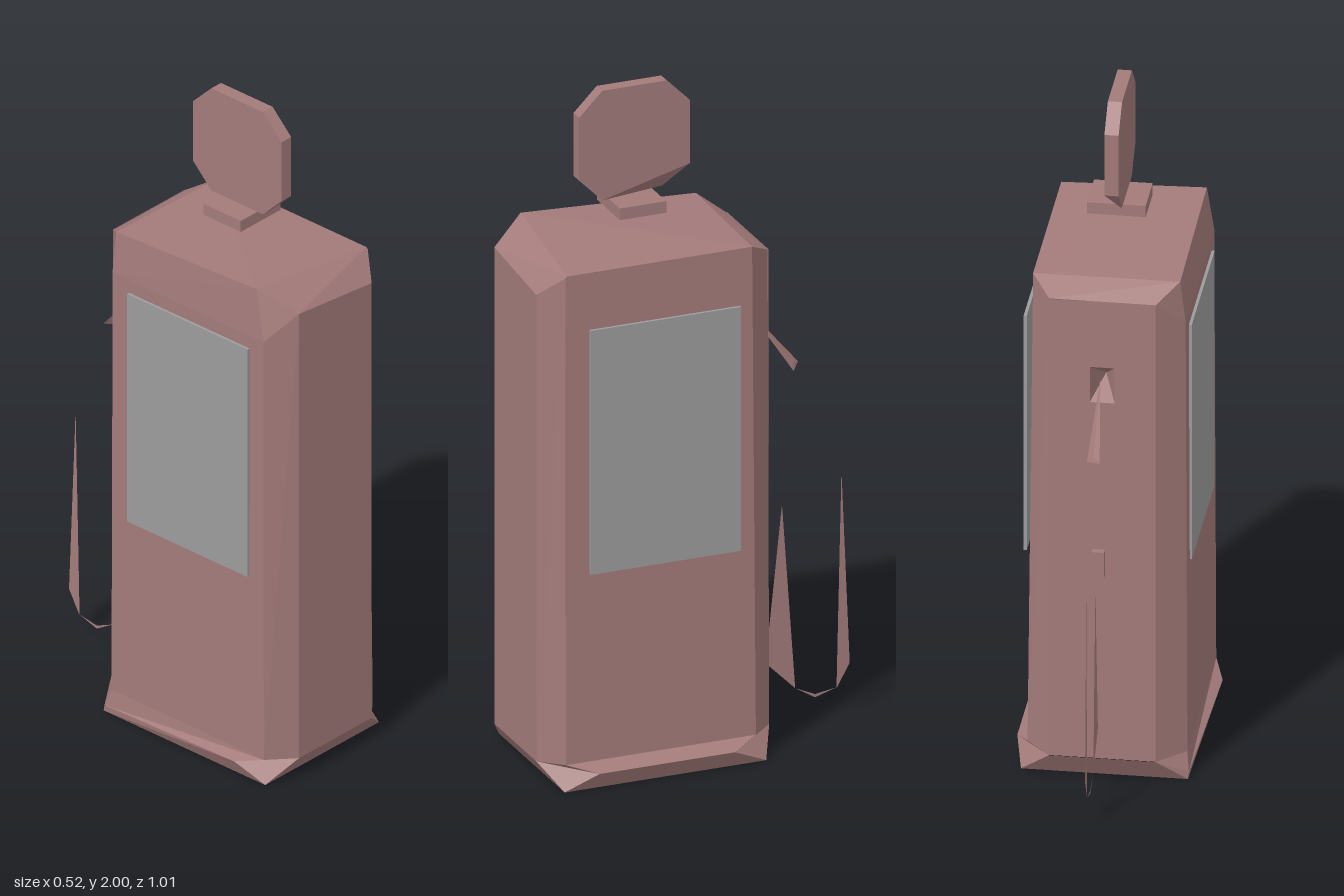
import * as THREE from 'three';

const bodyPaint = new THREE.MeshStandardMaterial({ color: 0xa37b7a, flatShading: true, side: THREE.DoubleSide });
bodyPaint.name = 'dusty red paint';
const panelGrey = new THREE.MeshStandardMaterial({ color: 0x9c9c9c, flatShading: true, side: THREE.DoubleSide });
panelGrey.name = 'panel grey';

// Flat-shaded geometry from a list of [a, b, c] corner triples
function fromTriangles(tris) {
  const g = new THREE.BufferGeometry();
  g.setAttribute('position', new THREE.Float32BufferAttribute(tris.flat(2), 3));
  g.computeVertexNormals();
  return g;
}

// Walls joining successive rings of equal size, with an optional skipped quad
function loft(rings, skip = () => false) {
  const tris = [];
  for (let r = 0; r < rings.length - 1; r++) {
    const n = rings[r].length;
    for (let i = 0; i < n; i++) {
      if (skip(r, i)) continue;
      const j = (i + 1) % n;
      const [a, b, c, d] = [rings[r][i], rings[r][j], rings[r + 1][j], rings[r + 1][i]];
      tris.push([a, b, c], [a, c, d]);
    }
  }
  return tris;
}

export function createModel() {
  const model = new THREE.Group();
  model.name = 'fuelPump';
  const add = (name, geometry, material, x = 0, y = 0, z = 0) => {
    const mesh = new THREE.Mesh(geometry, material);
    mesh.name = name;
    mesh.position.set(x, y, z);
    model.add(mesh);
    return mesh;
  };

  // Cabinet: worn eight-sided rings, starting at the front and going round by the left side
  const corners = (fl, fr, br, bl) => [fl, fr, fr, br, br, bl, bl, fl];
  const foot = corners([-0.235, 0, 0.455], [0.235, 0, 0.455], [0.235, 0, -0.155], [-0.235, 0, -0.155]);
  const flare = [
    [-0.15, 0.07, 0.505], [0.15, 0.07, 0.505], [0.26, 0.05, 0.36], [0.26, 0.05, -0.05],
    [0.15, 0.07, -0.2], [-0.15, 0.07, -0.2], [-0.237, 0.02, -0.15], [-0.26, 0.05, 0.36]];
  const waist = [
    [-0.15, 0.07, 0.505], [0.15, 0.07, 0.505], [0.22, 0.075, 0.445], [0.22, 0.075, -0.13],
    [0.15, 0.07, -0.2], [-0.15, 0.07, -0.2], [-0.23, 0.075, -0.13], [-0.23, 0.075, 0.445]];
  const shoulder = [
    [-0.15, 1.505, 0.505], [0.15, 1.475, 0.505], [0.205, 1.535, 0.44], [0.205, 1.535, -0.125],
    [0.15, 1.5, -0.195], [-0.15, 1.5, -0.195], [-0.225, 1.42, -0.13], [-0.225, 1.42, 0.44]];
  const roof = corners([-0.21, 1.57, 0.4], [0.205, 1.54, 0.435], [0.205, 1.54, -0.125], [-0.21, 1.545, -0.13]);
  const cabinet = loft([foot, flare, waist, shoulder, roof], (r, i) => r === 2 && i === 4);
  cabinet.push([roof[0], roof[1], roof[3]], [roof[0], roof[3], roof[5]]);
  add('cabinet', fromTriangles(cabinet), bodyPaint);

  // Back wall with the nozzle pocket cut into it
  const wall = new THREE.Shape([[-0.15, 0.07], [0.15, 0.07], [0.15, 1.5], [-0.15, 1.5]].map(p => new THREE.Vector2(...p)));
  const hw = 0.035, hh = 0.055, pocketY = 1.24;
  wall.holes.push(new THREE.Path([[-hw, -hh], [-hw, hh], [hw, hh], [hw, -hh]]
    .map(([x, y]) => new THREE.Vector2(x, y + pocketY))));
  add('backWall', new THREE.ShapeGeometry(wall).rotateY(Math.PI), bodyPaint, 0, 0, -0.198);
  const pocket = new THREE.ConeGeometry(Math.SQRT2, 1, 4, 1, true)
    .rotateY(Math.PI / 4).translate(0, 0.5, 0).rotateX(Math.PI / 2).scale(hw, hh, 0.08);
  add('nozzlePocket', pocket, bodyPaint, 0, pocketY, -0.198);

  // Side panels
  for (const [name, x, z] of [['leftPanel', 0.234, 0.15], ['rightPanel', -0.229, 0.16]]) {
    add(name, new THREE.BoxGeometry(0.009, 0.735, 0.455), panelGrey, x, 1.012, z);
  }

  // Sign foot, floating above the roof
  add('signFoot', new THREE.BoxGeometry(0.165, 0.035, 0.14), bodyPaint, 0, 1.647, 0.153);

  // Eight-sided sign with one chipped lower corner
  const outline = [[0.32, 1.93], [0.25, 2], [0.055, 2], [-0.015, 1.93],
    [-0.015, 1.74], [0.055, 1.67], [0.25, 1.67], [0.32, 1.74]];
  const rightFace = outline.map(([z, y]) => [-0.02, y, z]);
  const leftFace = outline.map(([z, y], i) => [i === 5 ? -0.015 : 0.02, y, z]);
  const sign = loft([leftFace, rightFace]);
  for (const i of [1, 2, 3, 6]) {
    const [a, b] = i === 6 ? [6, 7] : [i, i + 1];
    sign.push([leftFace[0], leftFace[b], leftFace[a]], [rightFace[0], rightFace[a], rightFace[b]]);
  }
  for (const [a, b, c] of [[0, 4, 6], [4, 5, 6]]) {
    sign.push([leftFace[a], leftFace[c], leftFace[b]], [rightFace[a], rightFace[b], rightFace[c]]);
  }
  add('sign', fromTriangles(sign), bodyPaint);

  // Nozzle: a thin spike hanging from the pocket
  const tip = [0.005, 1.26, -0.2], a = [-0.015, 1.075, -0.357], b = [0.025, 1.065, -0.327], c = [0.005, 1.085, -0.335];
  add('nozzle', fromTriangles([[tip, a, b], [tip, b, c], [tip, c, a], [a, c, b]]), bodyPaint);

  // Hose: flat slivers hanging in a loop, [z, y] corners
  const slivers = [
    [[-0.3, 0.66], [-0.25, 0.19], [-0.34, 0.1]],
    [[-0.34, 0.1], [-0.4, 0.063], [-0.4, 0.073]],
    [[-0.4, 0.063], [-0.465, 0.083], [-0.4, 0.073]],
    [[-0.48, 0.735], [-0.465, 0.08], [-0.505, 0.15]]];
  add('hose', fromTriangles(slivers.map(t => t.map(([z, y]) => [0.005, y, z]))), bodyPaint);

  // Small hose socket on the back
  add('hoseSocket', new THREE.BoxGeometry(0.035, 0.08, 0.03), bodyPaint, 0.01, 0.685, -0.203);

  return model;
}
